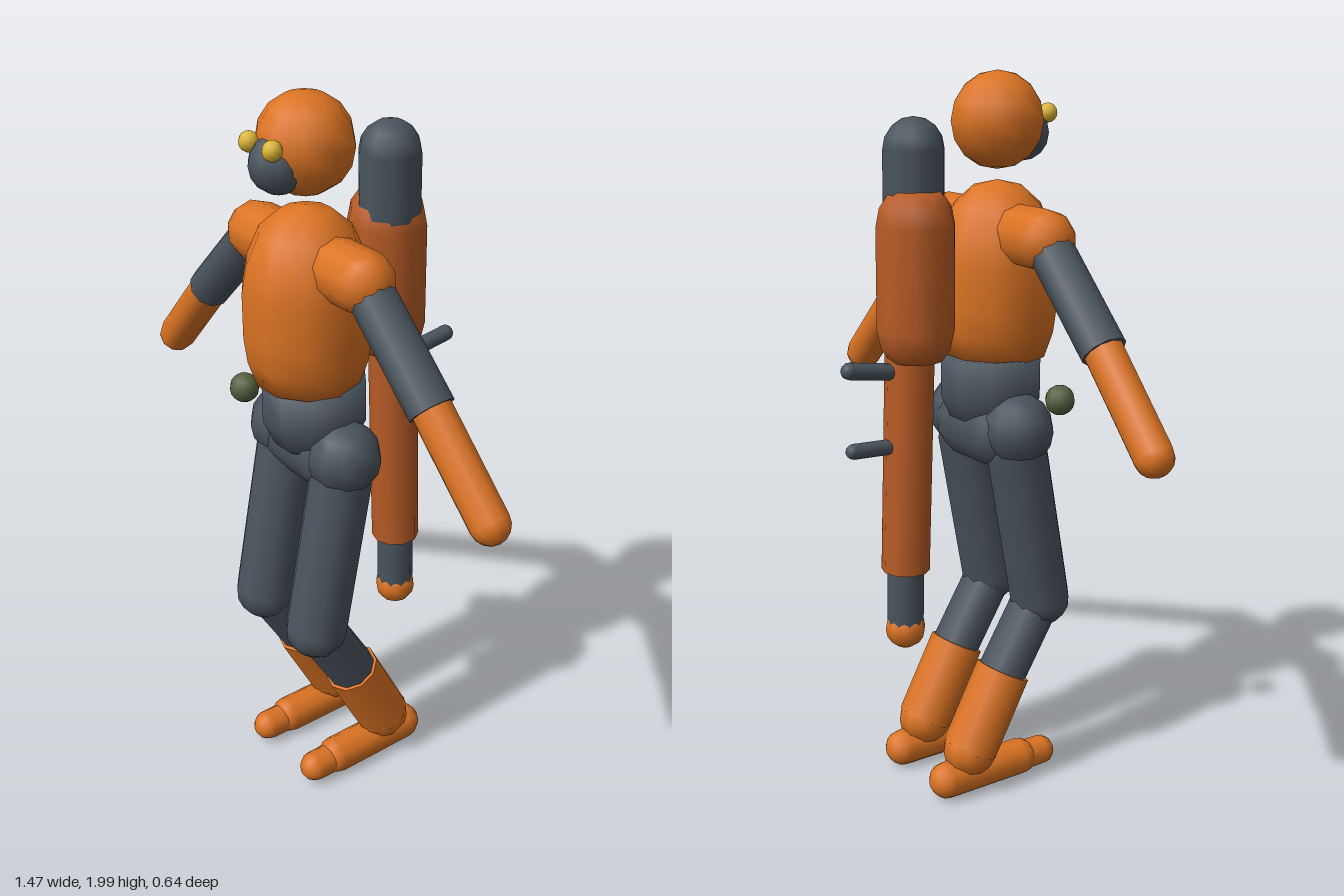
import * as THREE from 'three';

const mat = (name, color) => {
  const m = new THREE.MeshStandardMaterial({ color });
  m.name = name;
  return m;
};

export function createModel() {
  const model = new THREE.Group();
  const orange = mat('orange', 0xdb7323);
  const slate = mat('slate', 0x4a545d);
  const rust = mat('rust', 0xb85c26);
  const yellow = mat('yellow', 0xdcb436);
  const green = mat('green', 0x566040);
  const up = new THREE.Vector3(0, 1, 0);

  const add = (name, geometry, material, x = 0, y = 0, z = 0) => {
    const mesh = new THREE.Mesh(geometry, material);
    mesh.name = name;
    mesh.position.set(x, y, z);
    model.add(mesh);
    return mesh;
  };
  const ball = (name, r, material, x, y, z) =>
    add(name, new THREE.SphereGeometry(r, 10, 8), material, x, y, z);

  // A rounded limb whose cap centres sit at a and b
  const limb = (name, a, b, r, material) => {
    const p = new THREE.Vector3(...a), q = new THREE.Vector3(...b);
    const d = q.clone().sub(p);
    const mesh = add(name, new THREE.CapsuleGeometry(r, d.length(), 4, 10), material);
    mesh.position.copy(p).add(q).multiplyScalar(0.5);
    mesh.quaternion.setFromUnitVectors(up, d.normalize());
    return mesh;
  };
  // A straight sleeve with flat ends
  const sleeve = (name, a, b, r, material) => {
    const p = new THREE.Vector3(...a), q = new THREE.Vector3(...b);
    const d = q.clone().sub(p);
    const mesh = add(name, new THREE.CylinderGeometry(r, r, d.length(), 10), material);
    mesh.position.copy(p).add(q).multiplyScalar(0.5);
    mesh.quaternion.setFromUnitVectors(up, d.normalize());
    return mesh;
  };
  // A turned shape; points are [radius, height], bottom to top
  const turned = (name, points, material, x, z) =>
    add(name, new THREE.LatheGeometry(points.map(p => new THREE.Vector2(...p)), 10,
      Math.PI / 2), material, x, 0, z);

  // Head and face
  ball('head', 0.128, orange, 0, 1.87, 0.155);
  ball('facePlate', 0.076, slate, 0, 1.835, 0.235);
  for (const s of [-1, 1]) ball('eye', 0.026, yellow, s * 0.048, 1.886, 0.285);

  // Trunk
  turned('torso', [[0, 1.24], [0.138, 1.24], [0.162, 1.31], [0.171, 1.38], [0.171, 1.5],
    [0.158, 1.57], [0.123, 1.65], [0.066, 1.7], [0, 1.715]], orange, 0, 0.157);
  turned('waist', [[0, 1.0], [0.06, 1.025], [0.11, 1.06], [0.142, 1.13], [0.142, 1.245],
    [0, 1.245]], slate, 0, 0.14);
  limb('pelvis', [-0.07, 1.04, 0.13], [0.07, 1.04, 0.13], 0.105, slate);
  ball('beltOrb', 0.041, green, -0.215, 1.145, 0.215);

  for (const s of [-1, 1]) {
    // Arms
    limb('shoulder', [s * 0.1, 1.58, 0.15], [s * 0.22, 1.58, 0.15], 0.081, orange);
    sleeve('upperArm', [s * 0.22, 1.585, 0.15], [s * 0.475, 1.335, 0.145], 0.06, slate);
    limb('forearm', [s * 0.46, 1.35, 0.145], [s * 0.68, 1.117, 0.137], 0.053, orange);

    // Legs
    ball('hip', 0.1, slate, s * 0.13, 1.055, 0.14);
    limb('thigh', [s * 0.12, 0.99, 0.145], [s * 0.12, 0.545, 0.232], 0.086, slate);
    sleeve('shin', [s * 0.117, 0.53, 0.22], [s * 0.117, 0.3, 0.08], 0.069, slate);
    sleeve('bootShaft', [s * 0.117, 0.345, 0.108], [s * 0.117, 0.13, -0.006], 0.078, orange);
    ball('ankle', 0.077, orange, s * 0.117, 0.13, -0.006);
    limb('foot', [s * 0.117, 0.054, -0.082], [s * 0.117, 0.054, 0.165], 0.053, orange);
    limb('toe', [s * 0.117, 0.052, 0.17], [s * 0.117, 0.052, 0.243], 0.043, orange);
  }

  // Launcher slung on the back
  limb('launcherNose', [0.02, 1.65, -0.095], [0.02, 1.805, -0.095], 0.083, slate);
  turned('launcherBody', [[0, 1.24], [0.072, 1.255], [0.096, 1.29], [0.107, 1.34],
    [0.107, 1.61], [0.097, 1.66], [0.07, 1.7], [0, 1.715]], rust, 0, -0.103);
  sleeve('launcherTube', [0.02, 1.32, -0.11], [0.02, 0.66, -0.13], 0.067, rust);
  sleeve('launcherTail', [0.02, 0.68, -0.13], [0.02, 0.49, -0.132], 0.051, slate);
  ball('launcherTip', 0.057, orange, 0.02, 0.485, -0.132);
  limb('upperGrip', [0.02, 1.225, -0.15], [0.02, 1.246, -0.298], 0.023, slate);
  limb('lowerGrip', [0.02, 1.02, -0.15], [0.02, 1.026, -0.29], 0.021, slate);

  return model;
}
